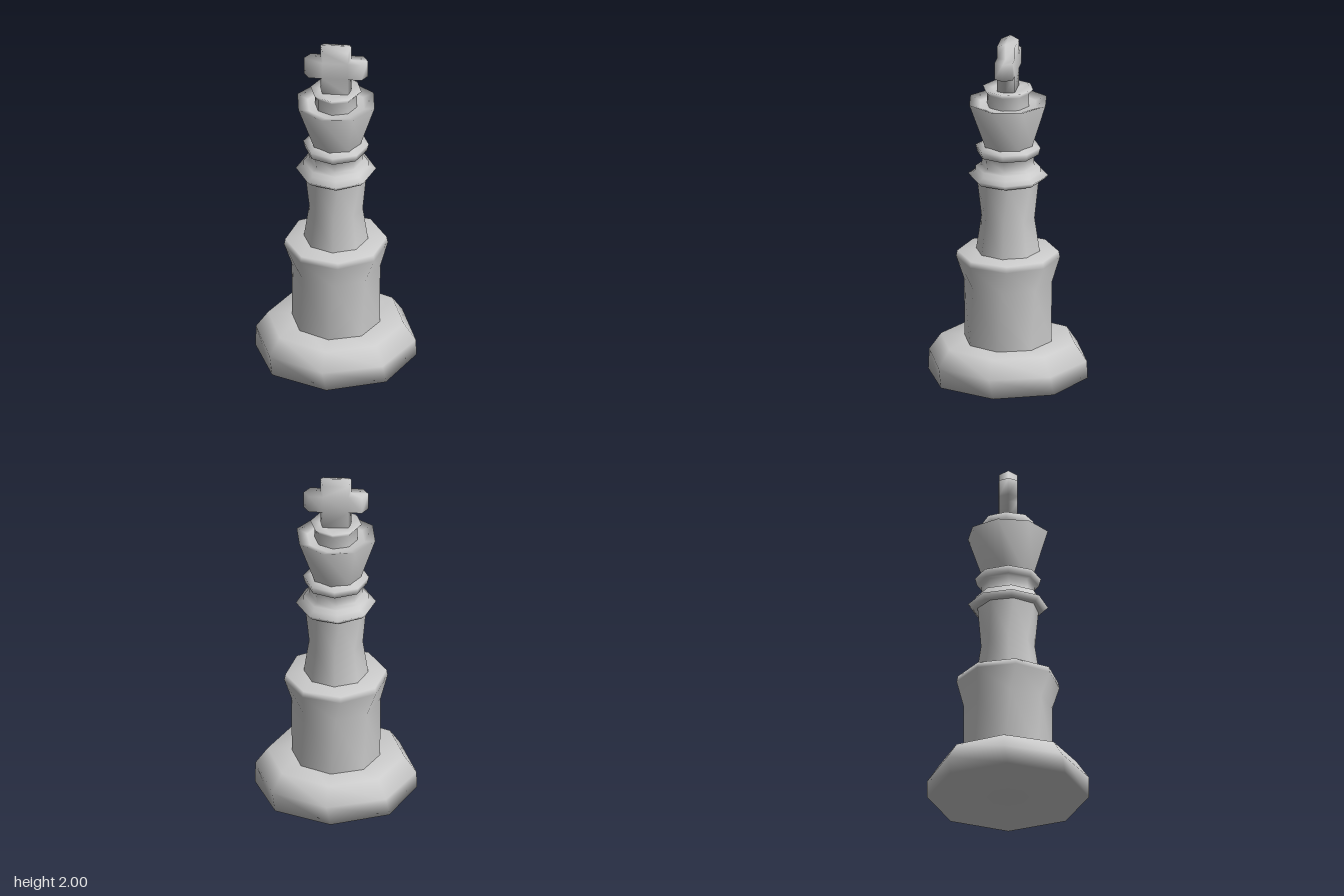
import * as THREE from 'three';
import { mergeVertices } from 'three/addons/utils/BufferGeometryUtils.js';

const SIDES = 8;

// weld shared corners so the whole surface shades smoothly
function smooth(geometry) {
  geometry.deleteAttribute('uv');
  geometry.deleteAttribute('normal');
  const welded = mergeVertices(geometry, 1e-4);
  welded.computeVertexNormals();
  return welded;
}

// octagonal turned part; every ring is [radius, height, twist in degrees]
function turned(rings) {
  const points = rings.map(([r, y]) => new THREE.Vector2(r, y));
  const geometry = new THREE.LatheGeometry(points, SIDES);
  const p = geometry.attributes.position;
  const v = new THREE.Vector3();
  const up = new THREE.Vector3(0, 1, 0);
  for (let i = 0; i < p.count; i++) {
    const twist = THREE.MathUtils.degToRad(rings[i % rings.length][2]);
    v.fromBufferAttribute(p, i).applyAxisAngle(up, twist);
    p.setXYZ(i, v.x, v.y, v.z);
  }
  return smooth(geometry);
}

// flat cross whose rim swells to a ridge halfway through its depth
function crossGeometry() {
  const half = [[0.072, 1.71], [0.072, 1.81], [0.15, 1.81], [0.15, 1.91], [0.072, 1.91], [0.072, 1.98]];
  const outline = [...half, ...half.map(([x, y]) => [-x, y]).reverse()];
  const shape = new THREE.Shape(outline.map(([x, y]) => new THREE.Vector2(x, y)));
  const geometry = new THREE.ExtrudeGeometry(shape, { depth: 0.104, steps: 2, bevelEnabled: false });
  geometry.translate(0, 0, -0.052);
  const p = geometry.attributes.position;
  for (let i = 0; i < p.count; i++) {
    if (Math.abs(p.getZ(i)) > 0.01) continue;
    p.setX(i, p.getX(i) * 1.22);
    if (p.getY(i) > 1.95) p.setY(i, 2);
  }
  return smooth(geometry);
}

export function createModel() {
  const group = new THREE.Group();
  const stone = new THREE.MeshStandardMaterial({ color: 0xcccccc });
  stone.name = 'light grey';

  const parts = {
    base: [[0, 0, 0], [0.46, 0, -1], [0.46, 0.11, -4], [0.39, 0.21, -4], [0.2, 0.21, -4]],
    body: [[0.252, 0.2, -4], [0.252, 0.56, 2], [0.295, 0.7, 8], [0.288, 0.735, 8], [0.15, 0.745, 8]],
    column: [[0.184, 0.735, 0], [0.153, 0.94, 0], [0.176, 1.17, 10]],
    collar: [
      [0.15, 1.165, 5], [0.2, 1.165, 5], [0.228, 1.195, 5], [0.185, 1.21, 5], [0.184, 1.243, 5],
      [0.15, 1.25, 3], [0.15, 1.315, 0], [0.176, 1.32, 0], [0.187, 1.363, 0], [0.14, 1.378, 0],
    ],
    crown: [[0.143, 1.37, -8], [0.234, 1.635, -15], [0.17, 1.615, -13], [0.1, 1.61, -10]],
    finial: [[0.122, 1.6, -5], [0.122, 1.685, -5], [0.147, 1.715, -5], [0.09, 1.71, -5], [0, 1.71, -5]],
  };
  for (const [name, rings] of Object.entries(parts)) {
    const mesh = new THREE.Mesh(turned(rings), stone);
    mesh.name = name;
    group.add(mesh);
  }

  const cross = new THREE.Mesh(crossGeometry(), stone);
  cross.name = 'cross';
  group.add(cross);
  return group;
}
